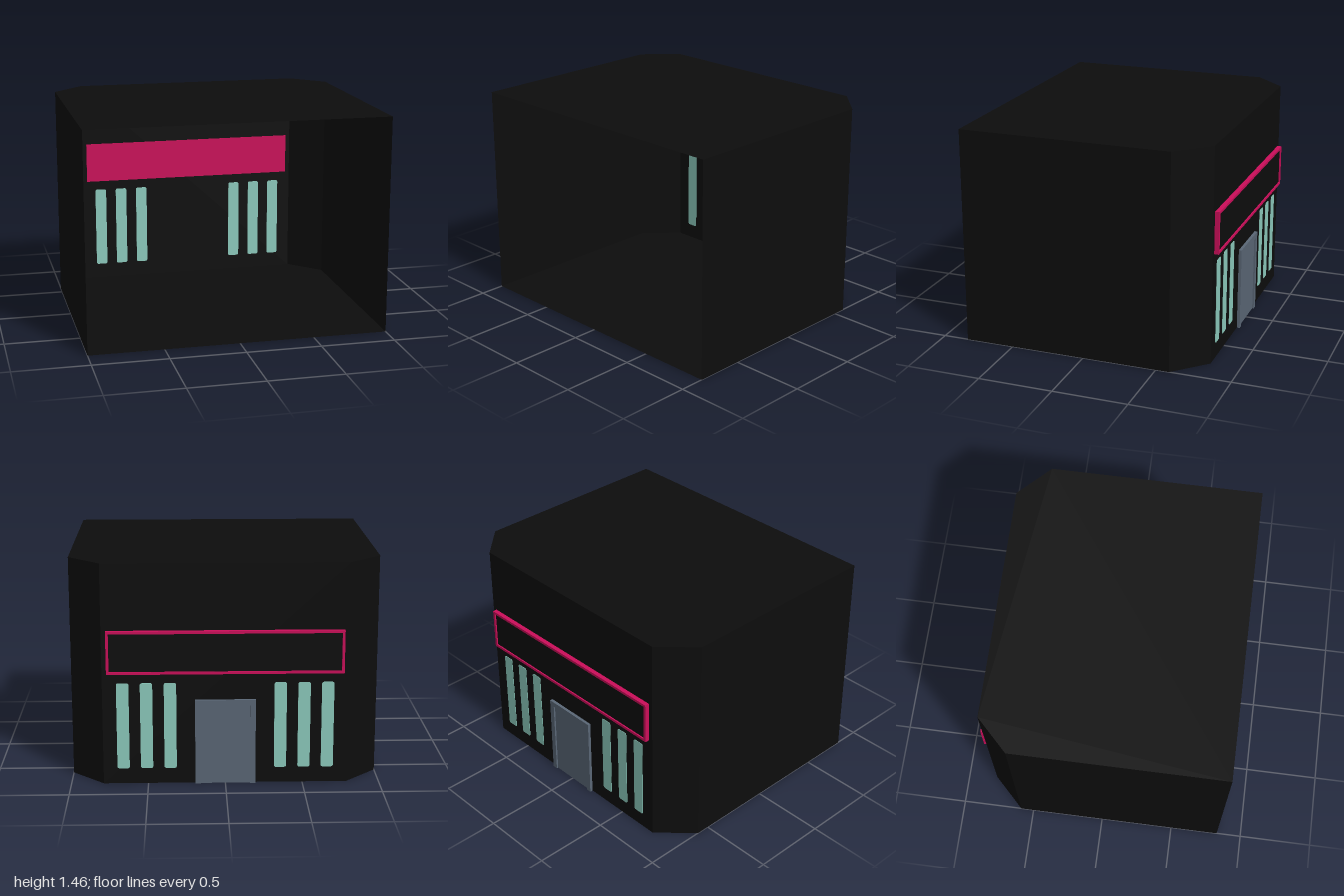
import * as THREE from 'three';

const H = 1.457;      // wall height
const BACK = -0.8;    // z of the entrance wall

export function createModel() {
  const group = new THREE.Group();
  const shell = new THREE.MeshStandardMaterial({ name: 'black shell', color: 0x0d0d0d, side: THREE.DoubleSide });
  const pink = new THREE.MeshStandardMaterial({ name: 'magenta trim', color: 0xcc0e5a });
  const glass = new THREE.MeshStandardMaterial({ name: 'mint glass', color: 0x8ccbbd });
  const slate = new THREE.MeshStandardMaterial({ name: 'slate door', color: 0x5a6776 });

  const add = (name, geometry, material, x = 0, y = 0, z = 0) => {
    const mesh = new THREE.Mesh(geometry, material);
    mesh.name = name;
    mesh.position.set(x, y, z);
    group.add(mesh);
    return mesh;
  };
  const box = (name, material, w, h, d, x, y, z) =>
    add(name, new THREE.BoxGeometry(w, h, d), material, x, y, z);

  // Thin-walled room, open at the front, with two cut corners
  const plan = [[1, 0.83], [1, -0.59], [0.79, BACK], [-0.79, BACK], [-1, -0.59], [-1, 0.83]]
    .map(([x, z]) => new THREE.Vector2(x, z));
  for (let i = 0; i < plan.length - 1; i++) {
    const a = plan[i], b = plan[i + 1];
    const wall = add('wall', new THREE.PlaneGeometry(a.distanceTo(b), H), shell,
      (a.x + b.x) / 2, H / 2, (a.y + b.y) / 2);
    wall.rotation.y = Math.atan2(a.y - b.y, b.x - a.x);
  }
  const slab = new THREE.ShapeGeometry(new THREE.Shape(plan)).rotateX(Math.PI / 2);
  add('floor', slab, shell);
  add('roof', slab, shell, 0, H, 0);

  // Sign board: magenta backing and rim around a recessed black face
  const sw = 1.52, sh = 0.282, sy = 0.882, rim = 0.017;
  box('signBacking', pink, sw, sh, 0.018, 0, sy, BACK - 0.006);
  for (const s of [-1, 1]) {
    box('signRimSide', pink, rim, sh, 0.016, s * (sw - rim) / 2, sy, BACK - 0.022);
    box('signRimEdge', pink, sw - 2 * rim, rim, 0.016, 0, sy + s * (sh - rim) / 2, BACK - 0.022);
  }
  box('signFace', shell, sw - 2 * rim, sh - 2 * rim, 0.006, 0, sy, BACK - 0.018);

  // Narrow windows with rounded corners, visible on both sides of the wall
  const w = 0.04, h = 0.287, r = 0.013;
  const pane = new THREE.Shape();
  pane.absarc(w - r, h - r, r, 0, Math.PI / 2);
  pane.absarc(r - w, h - r, r, Math.PI / 2, Math.PI);
  pane.absarc(r - w, r - h, r, Math.PI, Math.PI * 1.5);
  pane.absarc(w - r, r - h, r, Math.PI * 1.5, Math.PI * 2);
  const paneGeometry = new THREE.ExtrudeGeometry(pane, { depth: 0.006, bevelEnabled: false, curveSegments: 4 });
  for (const s of [-1, 1])
    for (const x of [0.355, 0.508, 0.66])
      add('window', paneGeometry, glass, s * x, 0.39, BACK - 0.003);

  // Door leaf set back inside its frame
  const dw = 0.39, dh = 0.565, jamb = 0.036;
  box('doorLeaf', slate, dw - 2 * jamb, dh - jamb, 0.009, 0, (dh - jamb) / 2, BACK - 0.0055);
  box('doorLintel', slate, dw, jamb, 0.02, 0, dh - jamb / 2, BACK - 0.011);
  for (const s of [-1, 1])
    box('doorJamb', slate, jamb, dh - jamb, 0.02, s * (dw - jamb) / 2, (dh - jamb) / 2, BACK - 0.011);

  return group;
}
